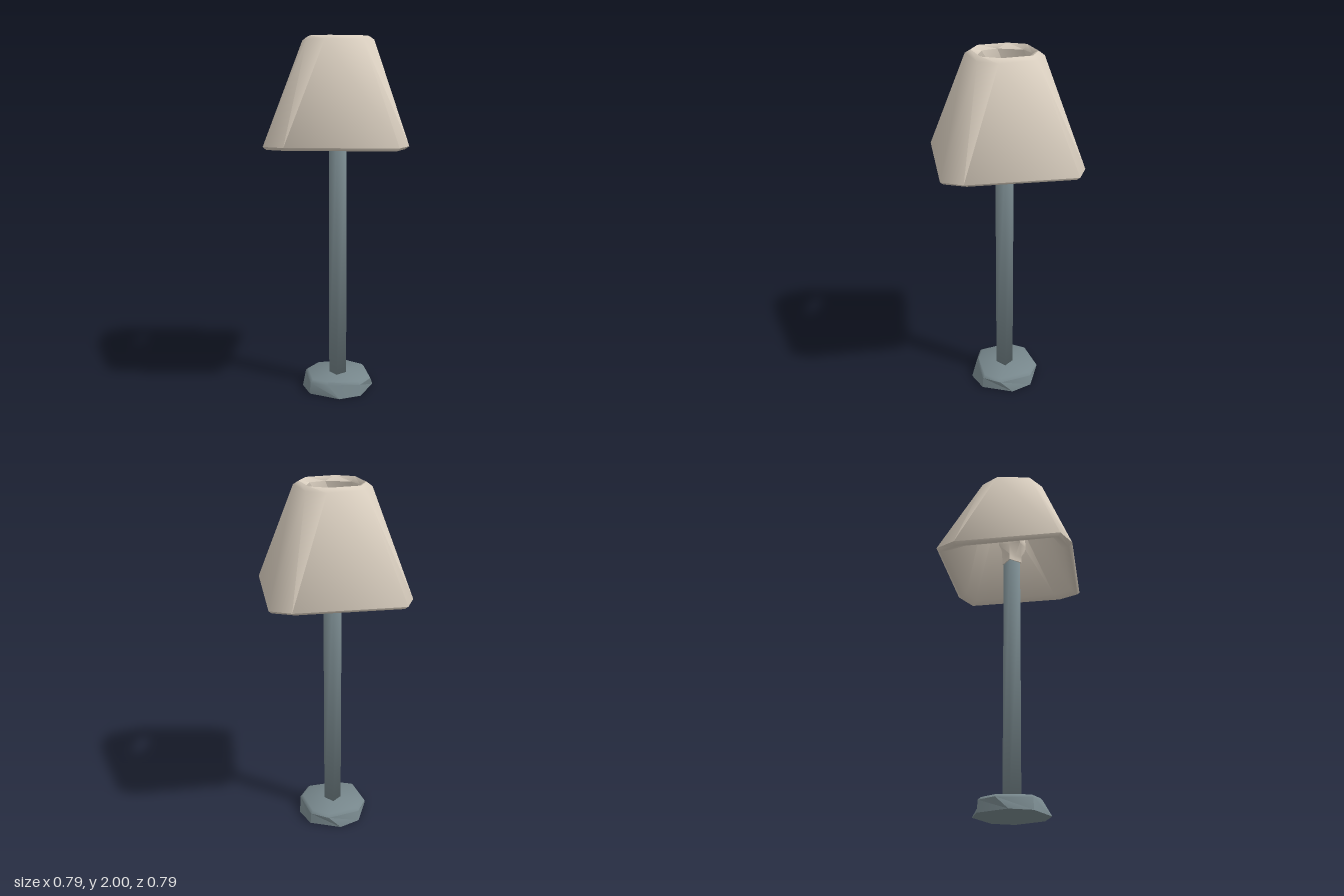
import * as THREE from 'three';
import { toCreasedNormals } from 'three/addons/utils/BufferGeometryUtils.js';

// Eight-point ring with four-fold symmetry: corner (-a,-a) and side point (mx,-mz).
// frontZ moves the front side point on its own.
function ring(y, a, mx, mz, frontZ = mz) {
  const pts = [];
  let c = [-a, -a], m = [mx, -mz];
  for (let k = 0; k < 4; k++) {
    pts.push([c[0], y, c[1]], [m[0], y, m[1]]);
    c = [-c[1], c[0]];
    m = [-m[1], m[0]];
  }
  pts[5][2] = frontZ;
  return pts;
}

// Skin a list of rings; optionally close both ends
function loft(rings, capped, crease) {
  const pos = [];
  const tri = (a, b, c) => pos.push(...a, ...b, ...c);
  for (let i = 0; i < rings.length - 1; i++) {
    for (let j = 0; j < 8; j++) {
      const n = (j + 1) % 8, lo = rings[i], hi = rings[i + 1];
      tri(lo[j], hi[j], hi[n]);
      tri(lo[j], hi[n], lo[n]);
    }
  }
  if (capped) {
    const bottom = rings[0], top = rings[rings.length - 1];
    for (let j = 0; j < 8; j++) {
      const n = (j + 1) % 8;
      tri([0, bottom[0][1], 0], bottom[j], bottom[n]);
      tri([0, top[0][1], 0], top[n], top[j]);
    }
  }
  const geo = new THREE.BufferGeometry();
  geo.setAttribute('position', new THREE.Float32BufferAttribute(pos, 3));
  return toCreasedNormals(geo, crease);
}

export function createModel() {
  const cream = new THREE.MeshStandardMaterial({ color: 0xd9cebf });
  cream.name = 'cream fabric';
  const slate = new THREE.MeshStandardMaterial({ color: 0x77878c });
  slate.name = 'slate metal';

  const group = new THREE.Group();
  group.name = 'lamp';
  const add = (name, geo, mat) => {
    const mesh = new THREE.Mesh(geo, mat);
    mesh.name = name;
    group.add(mesh);
    return mesh;
  };

  // Bevelled octagonal foot, its front edge pulled in at the top
  add('base', loft([
    ring(0, 0.145, -0.03, 0.203),
    ring(0.065, 0.142, 0.04, 0.195, 0.17),
    ring(0.08, 0.13, 0.035, 0.18, 0.158),
  ], true, 0.9), slate);

  // Four-sided pole, edges facing the axes
  const pole = toCreasedNormals(new THREE.CylinderGeometry(0.05, 0.05, 1.42, 4), 1.58);
  add('pole', pole, slate).position.y = 0.78;

  // Squarish bulb with a narrow neck
  add('bulb', loft([
    ring(1.49, 0.029, 0, 0.058),
    ring(1.525, 0.029, 0, 0.058),
    ring(1.59, 0.063, 0, 0.063, 0.085),
    ring(1.65, 0.061, 0, 0.061, 0.08),
    ring(1.69, 0.035, 0, 0.04),
  ], true, 1.2), cream);

  // Hollow shade: outside wall, top rim, inside wall, bottom lip
  const outerEdge = ring(1.435, 0.35, 0.235, 0.397);
  add('shade', loft([
    outerEdge,
    ring(1.98, 0.147, 0.045, 0.2),
    ring(2, 0.13, 0.03, 0.171),
    ring(1.975, 0.11, -0.025, 0.146),
    ring(1.437, 0.305, 0.19, 0.335),
    ring(1.418, 0.335, 0.22, 0.375),
    outerEdge,
  ], false, 1.3), cream);

  return group;
}
